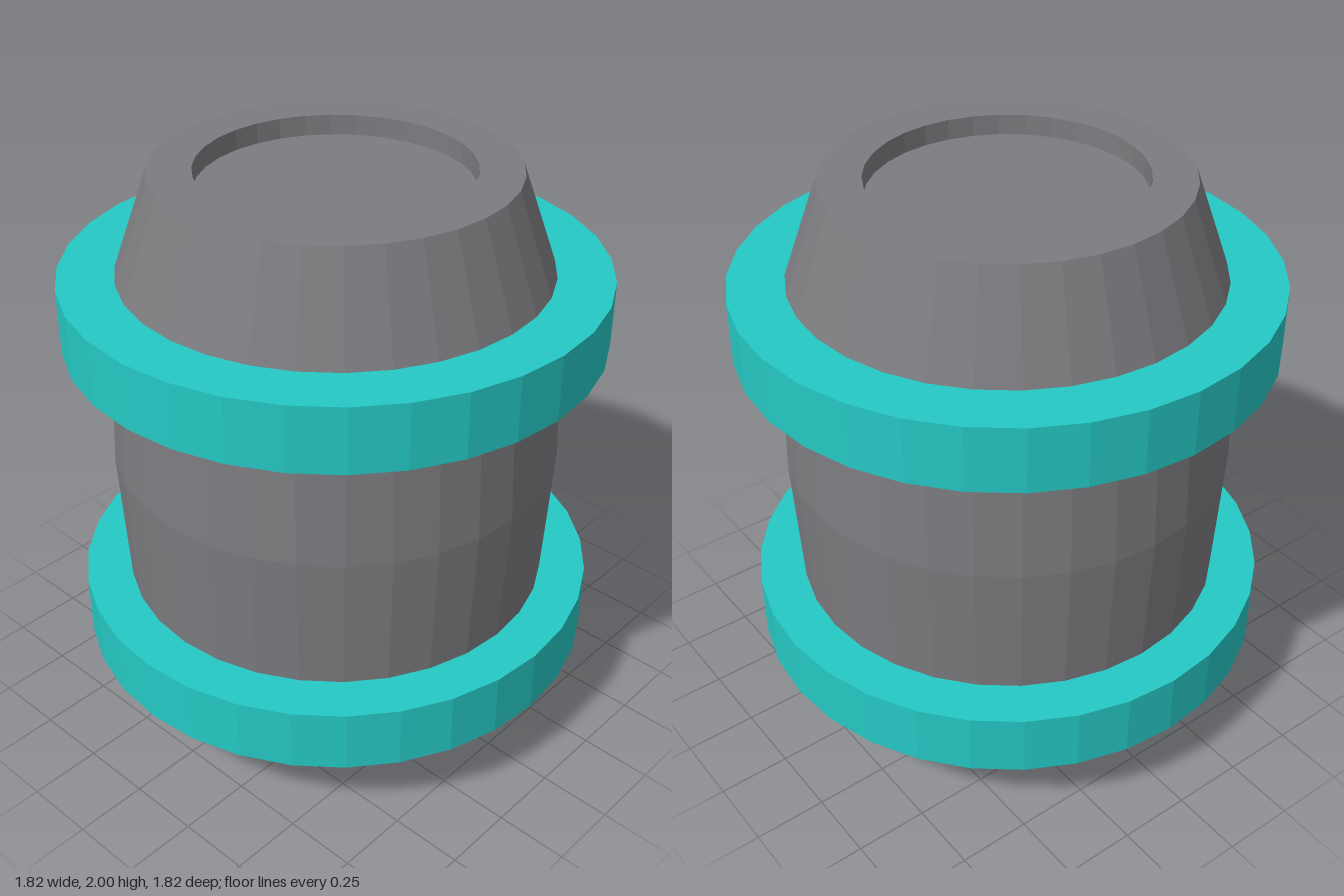
import * as THREE from 'three';

const SIDES = 32;

// Revolves an [radius, height] profile into a faceted solid.
function turned(name, profile, color) {
  const points = profile.map(([r, y]) => new THREE.Vector2(r, y));
  const material = new THREE.MeshStandardMaterial({ color, flatShading: true });
  const mesh = new THREE.Mesh(new THREE.LatheGeometry(points, SIDES), material);
  mesh.name = name;
  return mesh;
}

export function createModel() {
  const group = new THREE.Group();
  group.name = 'barrel';

  // Barrel body with a recessed lid at each end
  const lower = [[0, 0.07], [0.455, 0.07], [0.455, 0], [0.6, 0], [0.745, 0.4]];
  const upper = lower.map(([r, y]) => [r, 2 - y]).reverse();
  group.add(turned('body', [...lower, [0.775, 1], ...upper], 0x7c7c80));

  // Two wide hoops, sunk slightly into the body
  const hoop = [[0.69, 0], [0.912, 0], [0.912, 0.225], [0.69, 0.225], [0.69, 0]];
  for (const [name, y] of [['lowerHoop', 0.284], ['upperHoop', 1.435]]) {
    const mesh = turned(name, hoop, 0x25c8c4);
    mesh.position.y = y;
    group.add(mesh);
  }
  return group;
}
